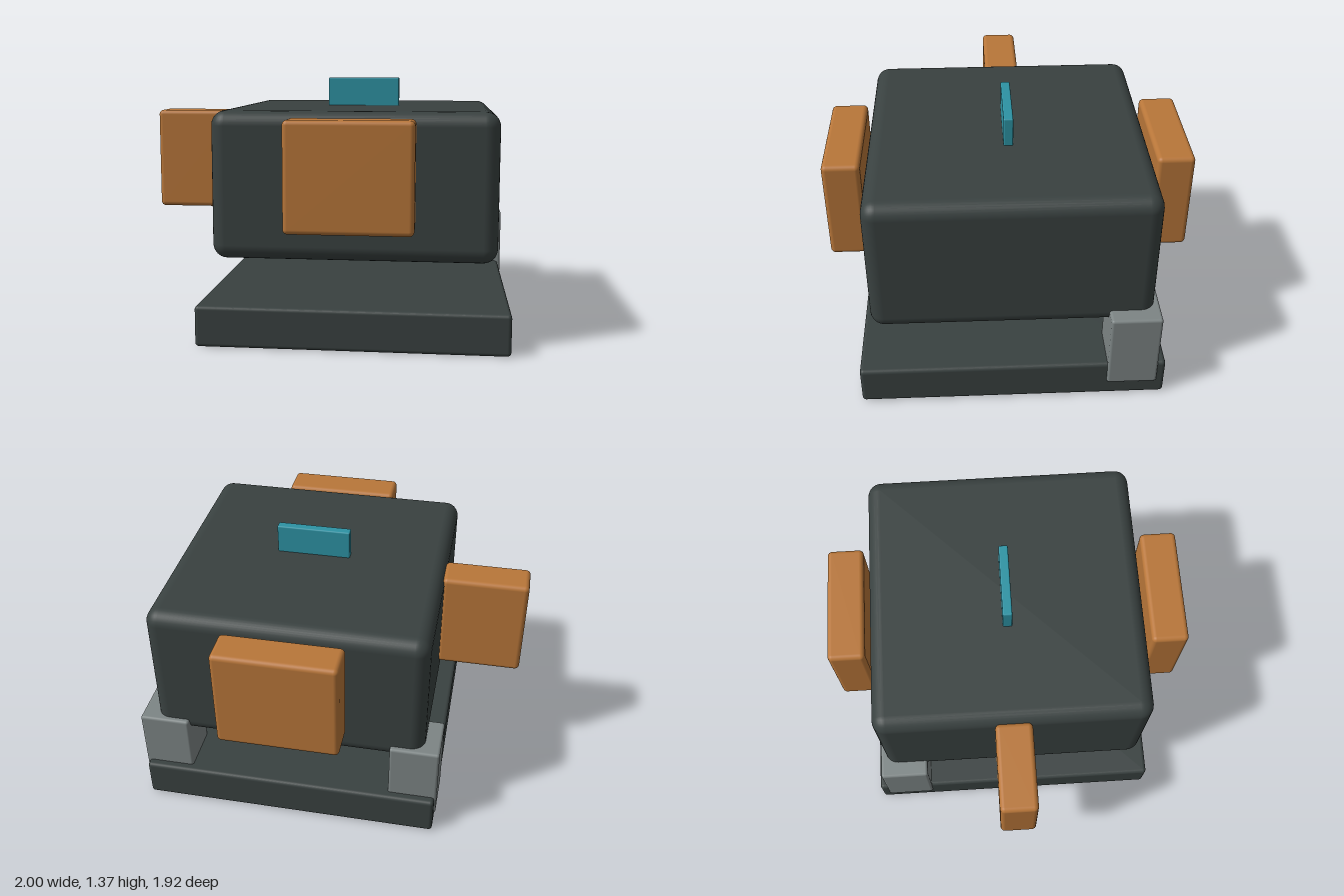
import * as THREE from 'three';
import { RoundedBoxGeometry } from 'three/addons/geometries/RoundedBoxGeometry.js';

function material(name, color) {
  const m = new THREE.MeshStandardMaterial({ color });
  m.name = name;
  return m;
}

export function createModel() {
  const charcoal = material('charcoal', 0x394140);
  const copper = material('copper', 0xb87639);
  const grey = material('grey', 0x7d8585);
  const teal = material('teal', 0x2d93a4);

  const model = new THREE.Group();
  model.name = 'model';

  // Rounded block given by its [min, max] extent on each axis
  function block(name, mat, [x0, x1], [y0, y1], [z0, z1], radius) {
    const geometry = new RoundedBoxGeometry(x1 - x0, y1 - y0, z1 - z0, 4, radius);
    const mesh = new THREE.Mesh(geometry, mat);
    mesh.name = name;
    mesh.position.set((x0 + x1) / 2, (y0 + y1) / 2, (z0 + z1) / 2);
    model.add(mesh);
  }

  // Base slab and main body
  block('base', charcoal, [-0.625, 0.985], [0, 0.215], [-0.807, 0.807], 0.02);
  block('body', charcoal, [-0.55, 0.915], [0.445, 1.21], [-0.735, 0.735], 0.075);

  // Rear supports joining base and body
  block('rightSupport', grey, [-0.635, -0.37], [0.09, 0.53], [-0.763, -0.497], 0.015);
  block('leftSupport', grey, [0.73, 1.0], [0.09, 0.53], [-0.763, -0.497], 0.015);

  // Side blocks around the body
  block('frontBlock', copper, [-0.14, 0.5], [0.623, 1.18], [0.763, 0.96], 0.025);
  block('backBlock', copper, [-0.14, 0.5], [0.623, 1.18], [-0.96, -0.763], 0.025);
  block('rightBlock', copper, [-1.0, -0.54], [0.623, 1.18], [-0.098, 0.098], 0.025);

  // Fin on the roof
  block('topFin', teal, [-0.02, 0.38], [1.205, 1.367], [-0.025, 0.025], 0.008);

  return model;
}
